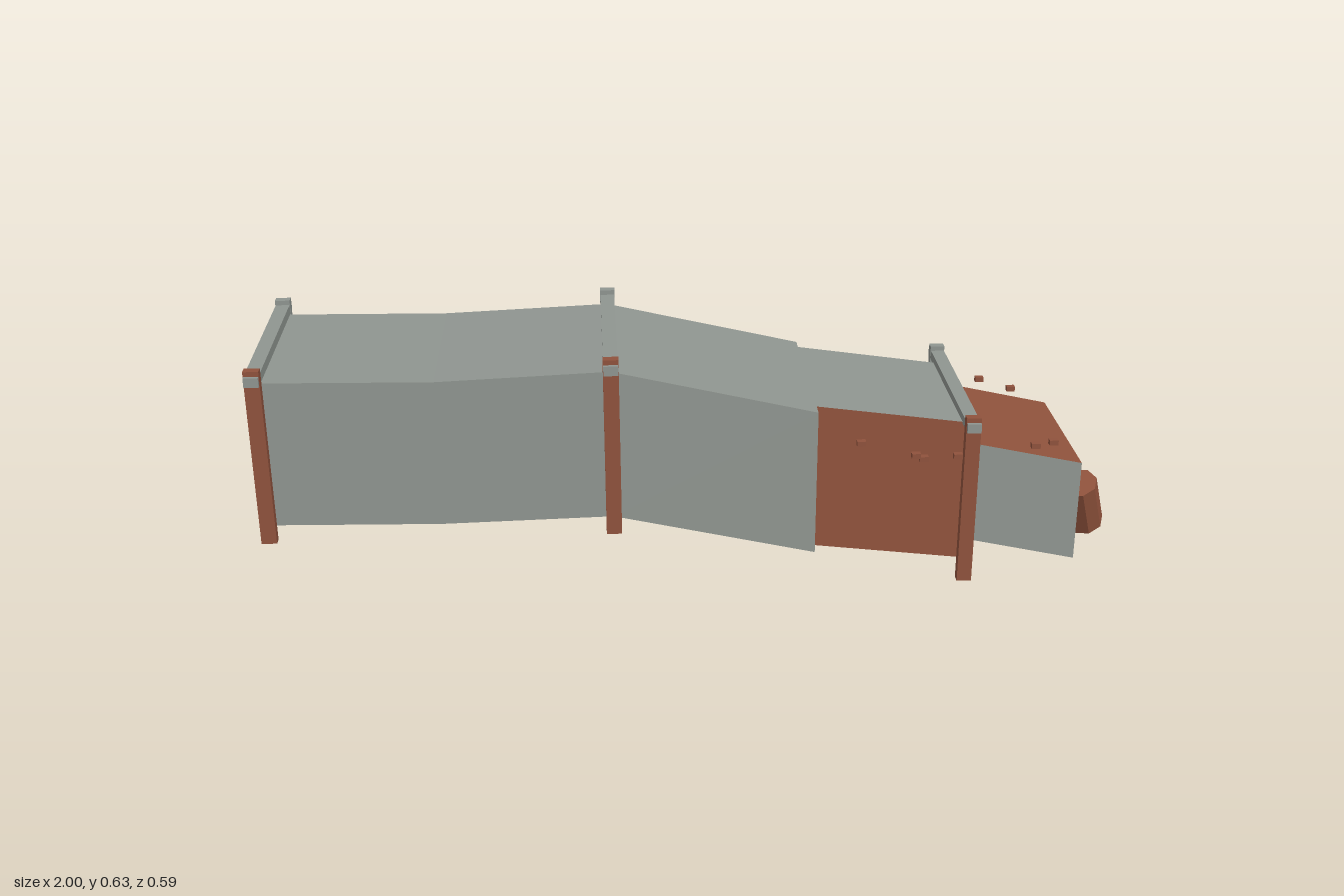
import * as THREE from 'three';

export function createModel() {
  const model = new THREE.Group();
  model.name = 'brokenDuct';

  const mat = (name, color) => {
    const m = new THREE.MeshStandardMaterial({ color, side: THREE.DoubleSide, flatShading: true });
    m.name = name;
    return m;
  };
  const steel = mat('steelGrey', 0x8f9590);
  const rust = mat('rustBrown', 0x8f523c);

  const add = (name, geometry, material, parent = model) => {
    const mesh = new THREE.Mesh(geometry, material);
    mesh.name = name;
    parent.add(mesh);
    return mesh;
  };

  // Box given by its minimum and maximum corners
  const box = (name, [x0, y0, z0], [x1, y1, z1], material, parent) =>
    add(name, new THREE.BoxGeometry(x1 - x0, y1 - y0, z1 - z0), material, parent)
      .position.set((x0 + x1) / 2, (y0 + y1) / 2, (z0 + z1) / 2);

  // Thin sheet with four corners
  const sheet = (name, a, b, c, d, material, parent) => {
    const g = new THREE.BufferGeometry();
    g.setAttribute('position', new THREE.Float32BufferAttribute([a, b, c, a, c, d].flat(), 3));
    g.computeVertexNormals();
    add(name, g, material, parent);
  };

  // Open duct section between two rectangular rims; rusty lists its brown walls
  const section = (name, s, e, rusty = []) => {
    const group = new THREE.Group();
    group.name = name;
    model.add(group);
    // rim corners: bottom front, top front, top back, bottom back
    const rim = ({ x, y, z }) => [[x, y[0], z[1]], [x, y[1], z[1]], [x, y[1], z[0]], [x, y[0], z[0]]];
    const p = rim(s), q = rim(e);
    ['frontWall', 'roof', 'backWall', 'floor'].forEach((wall, i) => {
      const j = (i + 1) % 4;
      sheet(wall, p[i], q[i], q[j], p[j], rusty.includes(wall) ? rust : steel, group);
    });
  };

  const inlet = { x: -0.985, y: [0.235, 0.575], z: [-0.2, 0.23] };
  const bend = { x: -0.6, y: [0.235, 0.575], z: [-0.184, 0.248] };
  const crest = { x: -0.22, y: [0.25, 0.596], z: [-0.166, 0.265] };
  section('inletSection', inlet, bend, ['backWall']);
  section('risingSection', bend, crest);
  section('fallingSection', crest, { x: 0.235, y: [0.135, 0.48], z: [-0.188, 0.247] }, ['floor']);
  section('shiftedSection', { x: 0.235, y: [0.135, 0.48], z: [-0.154, 0.212] },
    { x: 0.6, y: [0.05, 0.397], z: [-0.232, 0.135] }, ['frontWall']);
  section('outletSection', { x: 0.6, y: [0.1, 0.347], z: [-0.231, 0.135] },
    { x: 0.878, y: [0.022, 0.272], z: [-0.262, 0.103] }, ['roof']);

  // Repair plate under the inlet
  box('floorPatch', [-0.7, 0.225, -0.1], [-0.44, 0.235, 0.15], rust);

  // Support frames: rusty front post, steel back post and cross beam
  const frames = [
    { x: -0.983, bottom: 0.2, top: 0.61, front: 0.241, back: -0.209 },
    { x: -0.219, bottom: 0.216, top: 0.63, front: 0.274, back: -0.176 },
    { x: 0.597, bottom: 0.016, top: 0.43, front: 0.177, back: -0.273 },
  ];
  for (const { x, bottom, top, front, back } of frames) {
    const frame = new THREE.Group();
    frame.name = 'supportFrame';
    model.add(frame);
    for (const [name, z, m] of [['frontPost', front, rust], ['backPost', back, steel]])
      box(name, [x - 0.017, bottom, z - 0.0105], [x + 0.017, top, z + 0.0105], m, frame);
    box('crossBeam', [x - 0.016, top - 0.033, back - 0.019], [x + 0.016, top - 0.011, front + 0.019], steel, frame);
  }

  // Small loose rivets along both sides: [x, y]
  const rivets = {
    front: { z: 0.229, at: [[0.335, 0.396], [0.46, 0.362], [0.478, 0.354], [0.555, 0.358], [0.73, 0.379], [0.77, 0.386]] },
    back: {
      z: -0.194, at: [[0.69, 0.369], [0.77, 0.342], [0.305, 0.4], [0.193, 0.406], [0.155, 0.393],
        [-0.02, 0.378], [-0.34, 0.36], [-0.467, 0.352], [-0.885, 0.348]],
    },
  };
  for (const [side, { z, at }] of Object.entries(rivets))
    for (const [x, y] of at)
      box(side + 'Rivet', [x - 0.01, y - 0.006, z - 0.007], [x + 0.01, y + 0.006, z + 0.007], rust);

  // Tilted eight-sided drum at the outlet
  const drum = add('drum', new THREE.CylinderGeometry(0.046, 0.046, 0.141, 8), rust);
  drum.position.set(0.938, 0.085, -0.07);
  drum.quaternion.setFromUnitVectors(new THREE.Vector3(0, 1, 0),
    new THREE.Vector3(-0.038, 0.127, 0.047).normalize());

  return model;
}
